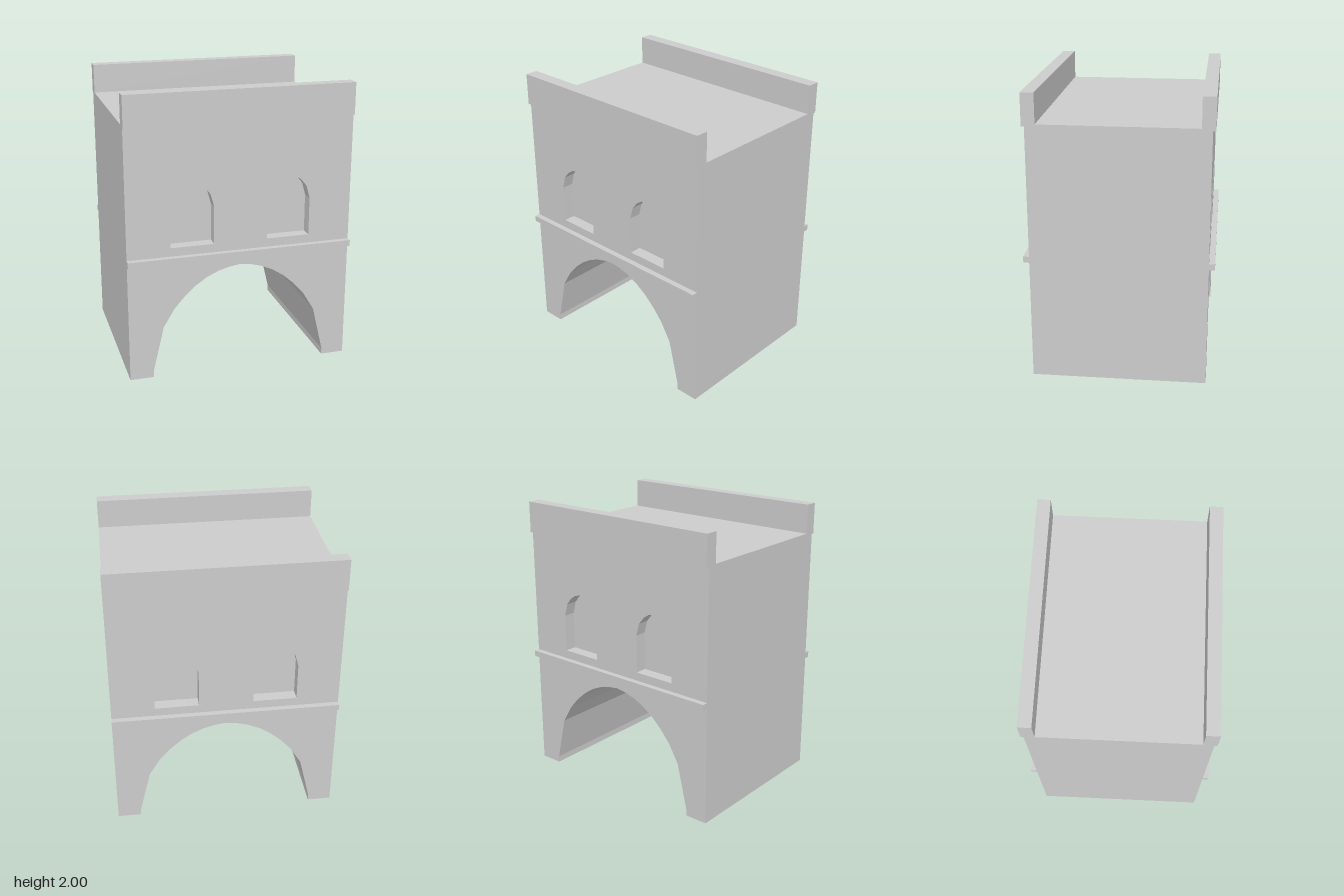
import * as THREE from 'three';

const HALF_W = 0.79;    // half width of the building
const WALL_Z = 0.6;     // outer wall face
const NICHE_Z = 0.515;  // back of the window niches
const ROOF_Y = 1.795;

const stone = new THREE.MeshStandardMaterial({ color: 0xcccccc });
stone.name = 'grey stone';

const toVectors = (points) => points.map(([x, y]) => new THREE.Vector2(x, y));

// Completes a left half outline (ending at the apex) with its mirror image
function mirrored(half, cx = 0) {
  const right = half.slice(0, -1).reverse().map(([x, y]) => [-x, y]);
  return [...half, ...right].map(([x, y]) => [x + cx, y]);
}

const archHalf = [
  [-0.625, 0], [-0.625, 0.045], [-0.548, 0.37], [-0.47, 0.5], [-0.394, 0.587],
  [-0.315, 0.657], [-0.235, 0.71], [-0.157, 0.745], [-0.078, 0.767], [0, 0.778],
];
const windowHalf = [
  [-0.152, 0.945], [-0.152, 1.21], [-0.127, 1.3], [-0.085, 1.35], [-0.045, 1.377], [0, 1.39],
];

// Wall outline with the gateway cut out of its base
function wallShape() {
  return new THREE.Shape(toVectors([
    [-HALF_W, 0], ...mirrored(archHalf), [HALF_W, 0], [HALF_W, ROOF_Y], [-HALF_W, ROOF_Y],
  ]));
}

function extrude(shape, depth) {
  return new THREE.ExtrudeGeometry(shape, { depth, bevelEnabled: false });
}

// Sweeps a (z, y) profile across the full width of the building
function sweepAcross(profile) {
  const geometry = extrude(new THREE.Shape(toVectors(profile)), HALF_W * 2);
  return geometry.translate(0, 0, -HALF_W).rotateY(-Math.PI / 2);
}

function addMesh(parent, name, geometry) {
  const mesh = new THREE.Mesh(geometry, stone);
  mesh.name = name;
  parent.add(mesh);
}

// One facade: wall skin with niches, string course and parapet
function createFacade(name) {
  const facade = new THREE.Group();
  facade.name = name;

  const skin = wallShape();
  for (const cx of [-0.34, 0.34]) {
    skin.holes.push(new THREE.Path(toVectors(mirrored(windowHalf, cx))));
  }
  addMesh(facade, 'windowWall', extrude(skin, WALL_Z - NICHE_Z).translate(0, 0, NICHE_Z));

  addMesh(facade, 'stringCourse', sweepAcross([
    [WALL_Z, 0.842], [0.64, 0.842], [0.64, 0.885], [WALL_Z, 0.885],
  ]));

  addMesh(facade, 'parapet', sweepAcross([
    [0.53, ROOF_Y], [WALL_Z, ROOF_Y], [WALL_Z, 1.78], [0.62, 1.78], [0.62, 2], [0.53, 2],
  ]));
  return facade;
}

export function createModel() {
  const model = new THREE.Group();
  model.name = 'gatehouse';

  // Solid core with the vaulted passage
  addMesh(model, 'core', extrude(wallShape(), NICHE_Z * 2).translate(0, 0, -NICHE_Z));

  const front = createFacade('frontFacade');
  const back = createFacade('backFacade');
  back.rotation.y = Math.PI;
  model.add(front, back);
  return model;
}
